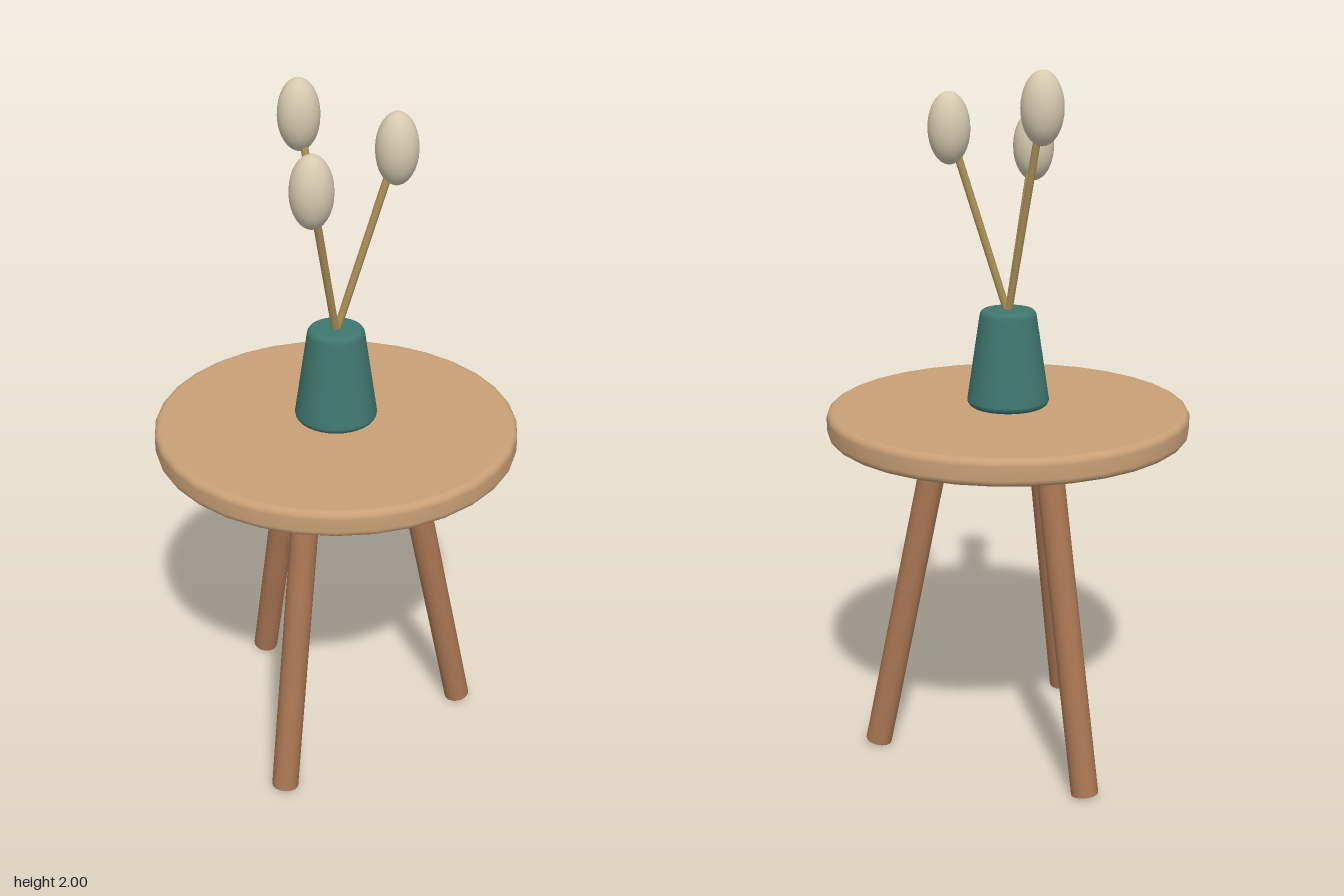
import * as THREE from 'three';

const V = (x, y, z) => new THREE.Vector3(x, y, z);
const material = (color) => new THREE.MeshStandardMaterial({ color });

function addMesh(parent, name, geometry, mat) {
  const mesh = new THREE.Mesh(geometry, mat);
  mesh.name = name;
  parent.add(mesh);
  return mesh;
}

// Straight rod between two points
function addRod(parent, name, from, to, radius, sides, mat) {
  const dir = to.clone().sub(from);
  const rod = addMesh(parent, name, new THREE.CylinderGeometry(radius, radius, dir.length(), sides), mat);
  rod.position.copy(from).add(to).multiplyScalar(0.5);
  rod.quaternion.setFromUnitVectors(V(0, 1, 0), dir.normalize());
  return rod;
}

// Solid of revolution with rounded top and bottom edges
function roundedTurning(rBottom, rTop, y0, y1, bevel, sides) {
  const points = [new THREE.Vector2(0, y0)];
  const steps = 4;
  for (let i = 0; i <= steps; i++) {
    const a = (i / steps) * Math.PI / 2;
    points.push(new THREE.Vector2(rBottom - bevel + bevel * Math.sin(a), y0 + bevel - bevel * Math.cos(a)));
  }
  for (let i = 0; i <= steps; i++) {
    const a = (i / steps) * Math.PI / 2;
    points.push(new THREE.Vector2(rTop - bevel + bevel * Math.cos(a), y1 - bevel + bevel * Math.sin(a)));
  }
  points.push(new THREE.Vector2(0, y1));
  return new THREE.LatheGeometry(points, sides);
}

export function createModel() {
  const group = new THREE.Group();
  group.name = 'sideTableWithVase';
  const topWood = material(0xc8a076);
  const legWood = material(0xa87552);
  const glaze = material(0x3f776e);
  const stalk = material(0xb0925a);
  const seed = material(0xd6cab0);

  // Round table top
  addMesh(group, 'tableTop', roundedTurning(0.517, 0.517, 0.99, 1.066, 0.02, 32), topWood);

  // Three splayed legs, one in front and two behind
  for (let i = 0; i < 3; i++) {
    const a = (i * Math.PI * 2) / 3;
    const s = Math.sin(a), c = Math.cos(a);
    addRod(group, `leg${i + 1}`, V(0.397 * s, 0.008, 0.397 * c), V(0.2 * s, 0.97, 0.2 * c), 0.039, 16, legWood);
  }

  // Tapered vase
  addMesh(group, 'vase', roundedTurning(0.117, 0.081, 1.066, 1.346, 0.02, 32), glaze);

  // Dried stems with egg-shaped heads
  const heads = [V(0, 1.785, 0.16), V(-0.14, 1.903, -0.08), V(0.138, 1.844, -0.081)];
  heads.forEach((tip, i) => {
    addRod(group, `stem${i + 1}`, V(0, 1.33, 0), tip, 0.011, 8, stalk);
    const head = addMesh(group, `seedHead${i + 1}`, new THREE.SphereGeometry(0.058, 24, 16), seed);
    head.scale.y = 1.68;
    head.position.copy(tip);
  });

  return group;
}
